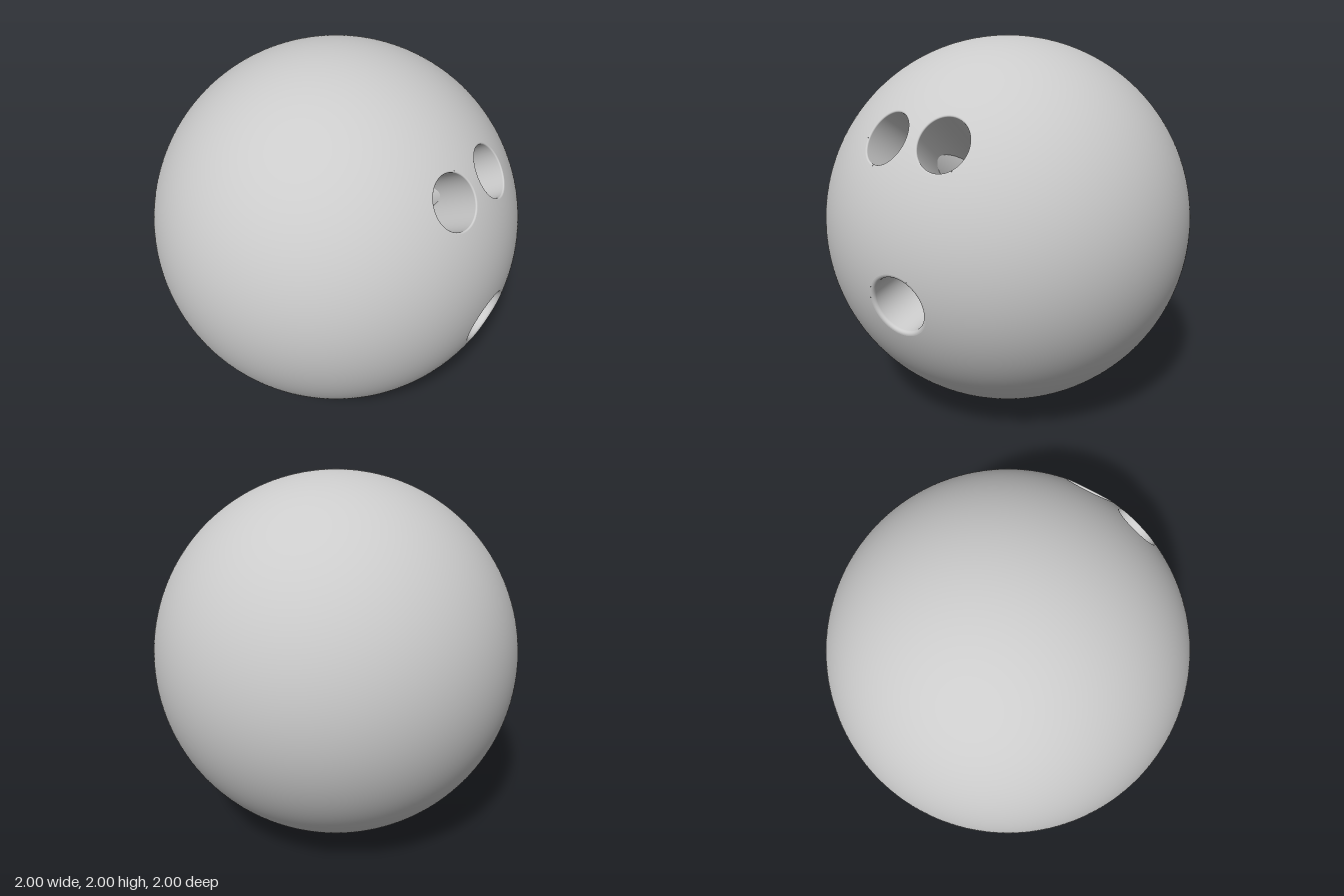
import * as THREE from 'three';
import { mergeVertices } from 'three/addons/utils/BufferGeometryUtils.js';

// Each hole: direction from the ball's centre, half width, half height, rim rounding, depth
const HOLES = [
  { name: 'leftFingerHole', dir: [0.163, 0.562, 0.811], a: 0.126, b: 0.138, fillet: 0.008, depth: 0.6 },
  { name: 'rightFingerHole', dir: [-0.163, 0.562, 0.811], a: 0.126, b: 0.138, fillet: 0.008, depth: 0.6 },
  { name: 'thumbHole', dir: [0, -0.19, 0.982], a: 0.144, b: 0.144, fillet: 0.02, depth: 0.7 },
];

// Local frame with y pointing out of the hole and x level
function holeFrame(dir) {
  const n = new THREE.Vector3(...dir).normalize();
  const x = new THREE.Vector3(0, 1, 0).cross(n).normalize();
  const z = new THREE.Vector3().crossVectors(x, n);
  return new THREE.Matrix4().makeBasis(x, n, z);
}

// Unit sphere whose vertices inside a hole are pushed out to its rim, then opened there
function shellGeometry() {
  const geo = new THREE.SphereGeometry(1, 240, 120);
  const pos = geo.attributes.position;
  const owner = new Int8Array(pos.count).fill(-1);
  const p = new THREE.Vector3();
  HOLES.forEach((h, k) => {
    const frame = holeFrame(h.dir);
    const inverse = frame.clone().invert();
    for (let i = 0; i < pos.count; i++) {
      p.fromBufferAttribute(pos, i).applyMatrix4(inverse);
      const e = Math.hypot(p.x / (h.a + h.fillet), p.z / (h.b + h.fillet));
      if (p.y < 0 || e >= 1) continue;
      const s = 1 / Math.max(e, 1e-6);
      p.x *= s;
      p.z *= s;
      p.y = Math.sqrt(Math.max(0, 1 - p.x * p.x - p.z * p.z));
      p.applyMatrix4(frame);
      pos.setXYZ(i, p.x, p.y, p.z);
      geo.attributes.normal.setXYZ(i, p.x, p.y, p.z);
      owner[i] = k;
    }
  });
  const kept = [];
  const idx = geo.index.array;
  for (let i = 0; i < idx.length; i += 3) {
    const [u, v, w] = [idx[i], idx[i + 1], idx[i + 2]];
    if (owner[u] >= 0 && owner[u] === owner[v] && owner[v] === owner[w]) continue;
    kept.push(u, v, w);
  }
  geo.setIndex(kept);
  return geo;
}

// Rounded rim, straight wall and domed bottom; profile y is depth below the ball's surface
function holeGeometry({ a, b, fillet, depth }) {
  const pts = [];
  for (let i = 0; i <= 6; i++) {
    const t = (i / 6) * Math.PI / 2;
    pts.push(new THREE.Vector2(a + fillet * (1 - Math.sin(t)), -fillet * (1 - Math.cos(t))));
  }
  for (let i = 0; i <= 10; i++) {
    const t = (i / 10) * Math.PI / 2;
    pts.push(new THREE.Vector2(Math.max(0, a * Math.cos(t)), -(depth - a) - a * Math.sin(t)));
  }
  const geo = new THREE.LatheGeometry(pts, 64);
  const pos = geo.attributes.position;
  const stretch = (b + fillet) / (a + fillet);
  for (let i = 0; i < pos.count; i++) {
    const x = pos.getX(i);
    const z = pos.getZ(i) * stretch;
    pos.setXYZ(i, x, pos.getY(i) + Math.sqrt(1 - x * x - z * z), z);
  }
  geo.deleteAttribute('uv');
  geo.deleteAttribute('normal');
  const merged = mergeVertices(geo, 1e-5);
  merged.computeVertexNormals();
  return merged;
}

export function createModel() {
  const group = new THREE.Group();
  group.name = 'bowlingBall';
  const material = new THREE.MeshStandardMaterial({ color: 0xcccccc });
  const holeMaterial = new THREE.MeshStandardMaterial({ color: 0xcccccc, side: THREE.DoubleSide });

  const shell = new THREE.Mesh(shellGeometry(), material);
  shell.name = 'shell';
  shell.position.y = 1;
  group.add(shell);

  for (const h of HOLES) {
    const hole = new THREE.Mesh(holeGeometry(h), holeMaterial);
    hole.name = h.name;
    hole.quaternion.setFromRotationMatrix(holeFrame(h.dir));
    hole.position.y = 1;
    group.add(hole);
  }
  return group;
}
